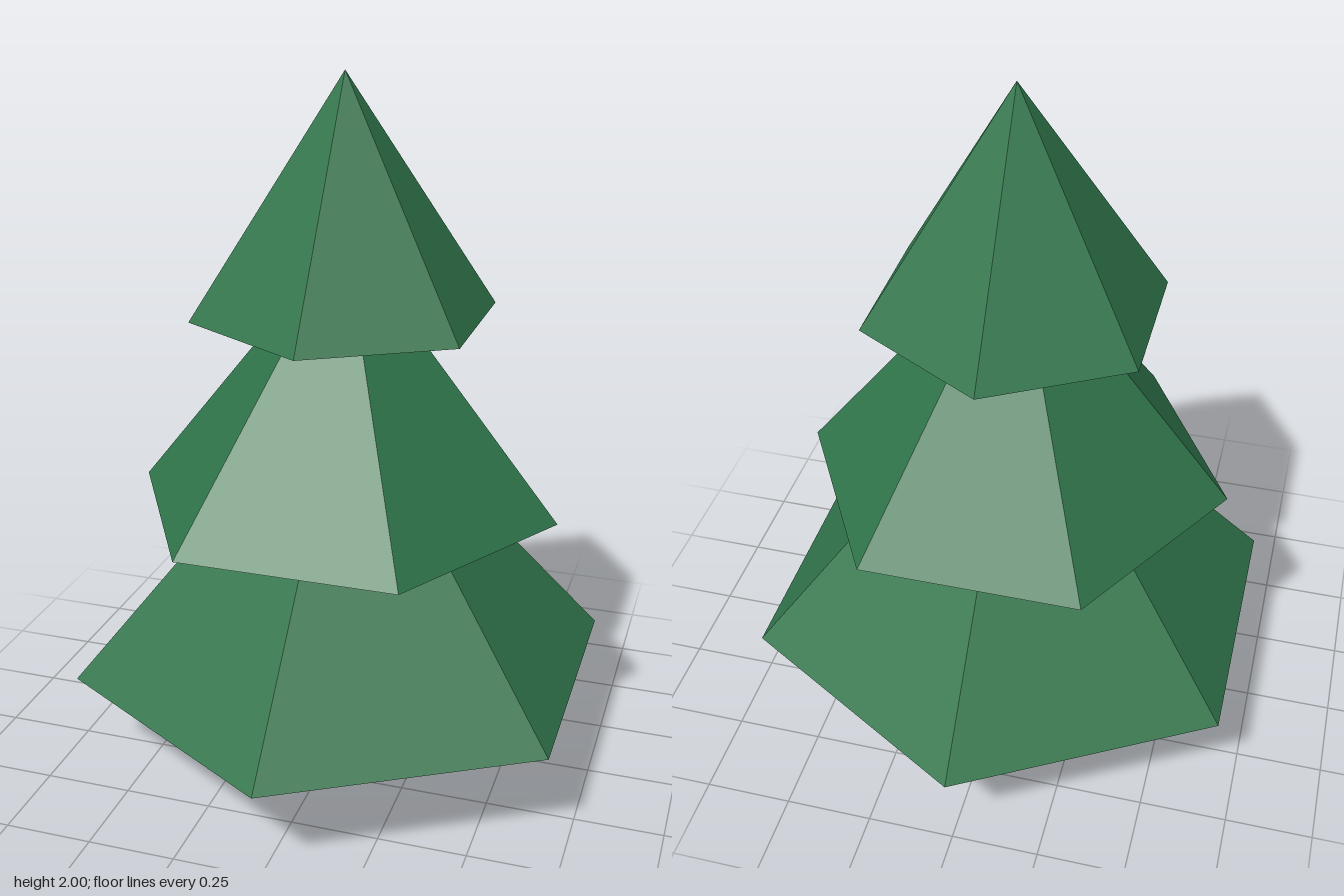
import * as THREE from 'three';

export function createModel() {
  const tree = new THREE.Group();
  tree.name = 'pineTree';

  const needles = new THREE.MeshStandardMaterial({ color: 0x30754b });
  needles.name = 'needleGreen';
  const bark = new THREE.MeshStandardMaterial({ color: 0x5c3d2e });
  bark.name = 'barkBrown';

  // Square trunk
  const trunk = new THREE.Mesh(new THREE.BoxGeometry(0.22, 0.28, 0.22), bark);
  trunk.name = 'trunk';
  trunk.position.y = 0.14;
  tree.add(trunk);

  // Stacked six-sided foliage cones, the middle one turned by half a side
  const tiers = [
    { name: 'lowerFoliage', radius: 0.8, base: 0.28, apex: 1.18, turn: 0 },
    { name: 'middleFoliage', radius: 0.62, base: 0.78, apex: 1.56, turn: Math.PI / 6 },
    { name: 'upperFoliage', radius: 0.435, base: 1.34, apex: 2, turn: 0 },
  ];
  for (const { name, radius, base, apex, turn } of tiers) {
    // Unshared corners give each side its own flat normal
    const geometry = new THREE.ConeGeometry(radius, apex - base, 6).toNonIndexed();
    geometry.computeVertexNormals();
    const tier = new THREE.Mesh(geometry, needles);
    tier.name = name;
    tier.position.y = (base + apex) / 2;
    tier.rotation.y = turn;
    tree.add(tier);
  }

  return tree;
}
